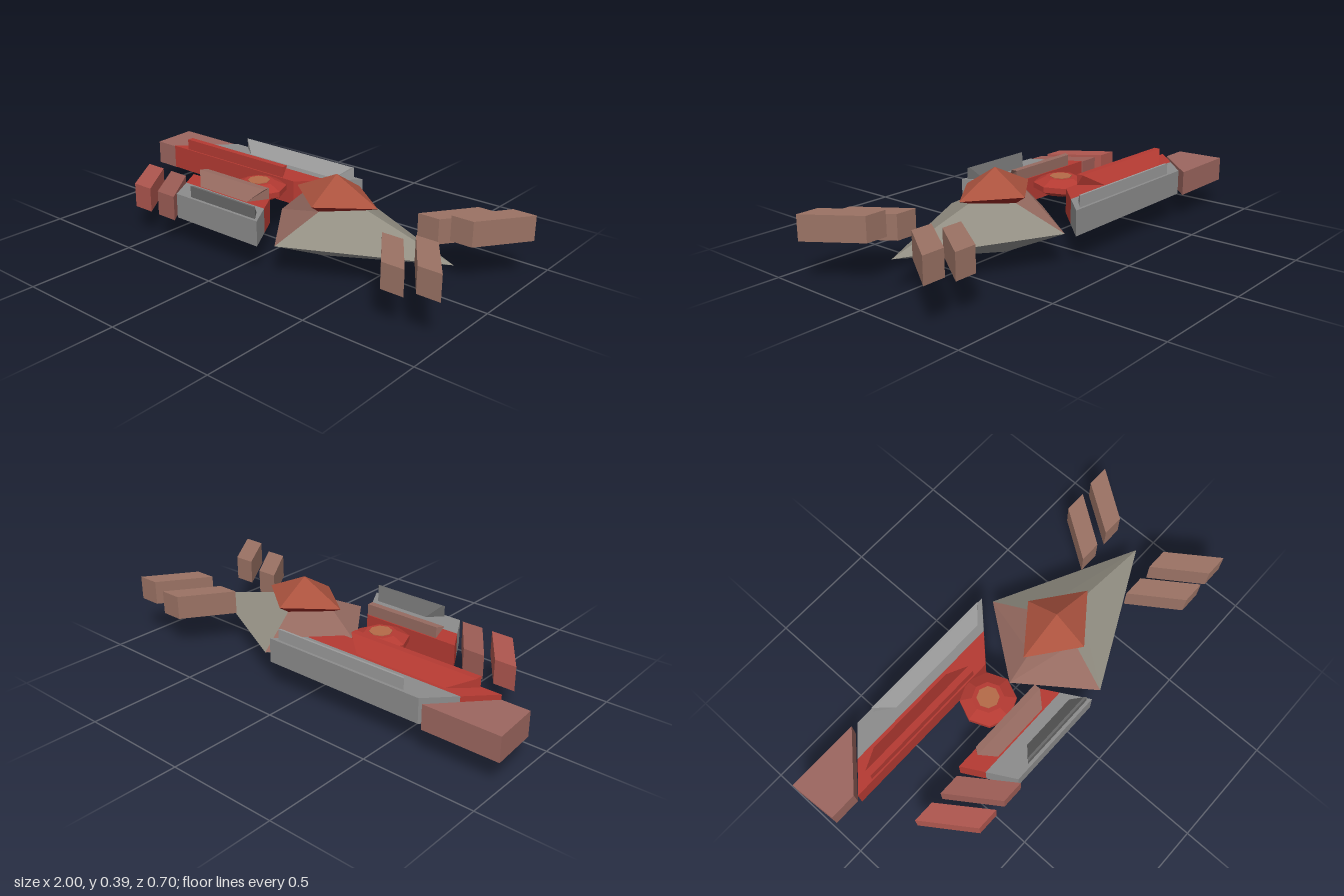
import * as THREE from 'three';

const STEEL = 0x8b8b8b, WARM = 0x928e82, DARK = 0x686868, RED = 0xb43a32, DEEP = 0x962622;
const EMBER = 0xaa523e, RUST = 0x9a7264, DUSK = 0x956a60;

// Solid skinned through rings of [x, y, z] corners, listed from bottom to top
function loft(name, rings, color) {
  let turn = 0;
  for (const r of rings) r.forEach((p, i) => {
    const q = r[(i + 1) % r.length];
    turn += p[0] * q[2] - q[0] * p[2];
  });
  const loops = turn > 0 ? rings.map(r => [...r].reverse()) : rings;
  const pos = [];
  const tri = (a, b, c) => {
    const [A, B, C] = [a, b, c].map(p => new THREE.Vector3(...p));
    if (B.sub(A).cross(C.sub(A)).length() > 1e-8) pos.push(...a, ...b, ...c);
  };
  const n = loops[0].length;
  for (let k = 0; k + 1 < loops.length; k++) {
    for (let i = 0; i < n; i++) {
      const j = (i + 1) % n, lo = loops[k], hi = loops[k + 1];
      tri(lo[i], lo[j], hi[j]);
      tri(lo[i], hi[j], hi[i]);
    }
  }
  const low = loops[0], top = loops[loops.length - 1];
  for (let i = 1; i + 1 < n; i++) {
    tri(low[0], low[i + 1], low[i]);
    tri(top[0], top[i], top[i + 1]);
  }
  const geo = new THREE.BufferGeometry();
  geo.setAttribute('position', new THREE.Float32BufferAttribute(pos, 3));
  geo.computeVertexNormals();
  const mesh = new THREE.Mesh(geo, new THREE.MeshStandardMaterial({ color, flatShading: true }));
  mesh.name = name;
  return mesh;
}

const level = (pts, y) => pts.map(([x, z]) => [x, y, z]);
const slab = (name, pts, y0, y1, color) => loft(name, [level(pts, y0), level(pts, y1)], color);
const ridge = (name, low, top, color) => loft(name, [level(low, 0.243), level(top, 0.293)], color);

// Four-cornered ring: rear tip, side, front tip, other side
const kite = (rear, front, midX, halfZ, yTip, ySide) => [
  [rear, yTip, 0], [midX, ySide, halfZ], [front, yTip, 0], [midX, ySide, -halfZ],
];
const point = (x, y) => Array.from({ length: 4 }, () => [x, y, 0]);

// Pod body in two strips: steel outside, red towards the reactor
function podBody(outL, outR, inR, inL, split) {
  const mix = (a, b) => a.map((v, i) => v + (b[i] - v) * split);
  const midL = mix(outL, inL), midR = mix(outR, inR);
  return [
    slab('podOuterBody', [outL, outR, midR, midL], 0.132, 0.243, STEEL),
    slab('podInnerBody', [midL, midR, inR, inL], 0.132, 0.243, RED),
  ];
}

export function createModel() {
  const model = new THREE.Group();
  model.name = 'spacecraft';

  // Pointed main hull: keel, then bow and stern halves of the deck
  const rim = kite(-0.04, 0.84, 0.2, 0.32, 0.153, 0.153);
  const neck = kite(0.09, 0.42, 0.26, 0.112, 0.27, 0.255);
  const half = (ring, tip) => [ring[1], ring[tip], ring[3]];
  model.add(
    loft('keel', [point(0.2, 0), rim], STEEL),
    loft('bowDeck', [half(rim, 2), half(neck, 2)], WARM),
    loft('sternDeck', [half(rim, 0), half(neck, 0)], DUSK),
  );

  // Canopy overhanging the hull
  const brow = kite(0.05, 0.475, 0.262, 0.162, 0.289, 0.289);
  model.add(
    loft('canopyUnderside', [neck, brow], DEEP),
    loft('canopy', [brow, point(0.262, 0.39)], EMBER),
  );

  // Swept fins: nose pairs on both sides, tail pair on the front side
  const fin = (name, x, side, y0, y1, color) => {
    const zIn = side * 0.1265 + 0.0045, zOut = side * 0.3455 + 0.0045;
    return slab(name, [[x, zIn], [x + 0.1, zIn], [x + 0.255, zOut], [x + 0.152, zOut]], y0, y1, color);
  };
  for (const side of [1, -1]) {
    model.add(fin('innerNoseFin', 0.59, side, 0.155, 0.265, RUST));
    model.add(fin('outerNoseFin', 0.745, side, 0.187, 0.297, RUST));
  }
  model.add(fin('outerTailFin', -0.765, 1, 0.122, 0.232, 0xae564e));
  model.add(fin('innerTailFin', -0.613, 1, 0.122, 0.232, 0x9c5c55));

  // Long pod with a channel between two ridges
  const longPod = new THREE.Group();
  longPod.name = 'longPod';
  longPod.add(
    ...podBody([-0.63, -0.338], [0.15, -0.338], [-0.07, -0.113], [-0.85, -0.113], 0.5),
    ridge('outerRidge',
      [[-0.55, -0.325], [0.11, -0.325], [0.04, -0.264], [-0.47, -0.264]],
      [[-0.55, -0.325], [0.11, -0.325], [0.1, -0.315], [-0.54, -0.315]], 0x9a9a9a),
    ridge('innerRidge',
      [[-0.66, -0.21], [-0.22, -0.21], [-0.14, -0.12], [-0.76, -0.12]],
      [[-0.76, -0.15], [-0.14, -0.15], [-0.14, -0.12], [-0.76, -0.12]], RED),
    slab('tailBlock', [[-1, -0.35], [-0.655, -0.35], [-0.86, -0.13], [-0.985, -0.13]], 0.122, 0.232, 0x9c665f),
  );

  // Short pod with the same channel
  const shortPod = new THREE.Group();
  shortPod.name = 'shortPod';
  shortPod.add(
    ...podBody([-0.355, 0.334], [0.117, 0.334], [-0.01, 0.112], [-0.48, 0.112], 0.55),
    ridge('outerRidge',
      [[-0.28, 0.32], [0.095, 0.32], [0.05, 0.262], [-0.22, 0.262]],
      [[-0.28, 0.32], [0.095, 0.32], [0.085, 0.31], [-0.27, 0.31]], DARK),
    ridge('innerRidge',
      [[-0.34, 0.205], [-0.06, 0.205], [-0.01, 0.118], [-0.38, 0.118]],
      [[-0.4, 0.147], [-0.01, 0.147], [-0.01, 0.118], [-0.38, 0.118]], DUSK),
  );
  model.add(longPod, shortPod);

  // Octagonal reactor floating between the pods
  const octagon = (r, y) => Array.from({ length: 8 }, (_, i) => {
    const a = i * Math.PI / 4;
    return [-0.177 + r * Math.cos(a), y, r * Math.sin(a)];
  });
  model.add(
    loft('reactor', [
      octagon(0.075, 0.18), octagon(0.123, 0.205), octagon(0.123, 0.23), octagon(0.07, 0.255),
    ], RED),
    loft('reactorCore', [octagon(0.05, 0.25), octagon(0.05, 0.258)], 0xb46a48),
  );

  return model;
}
